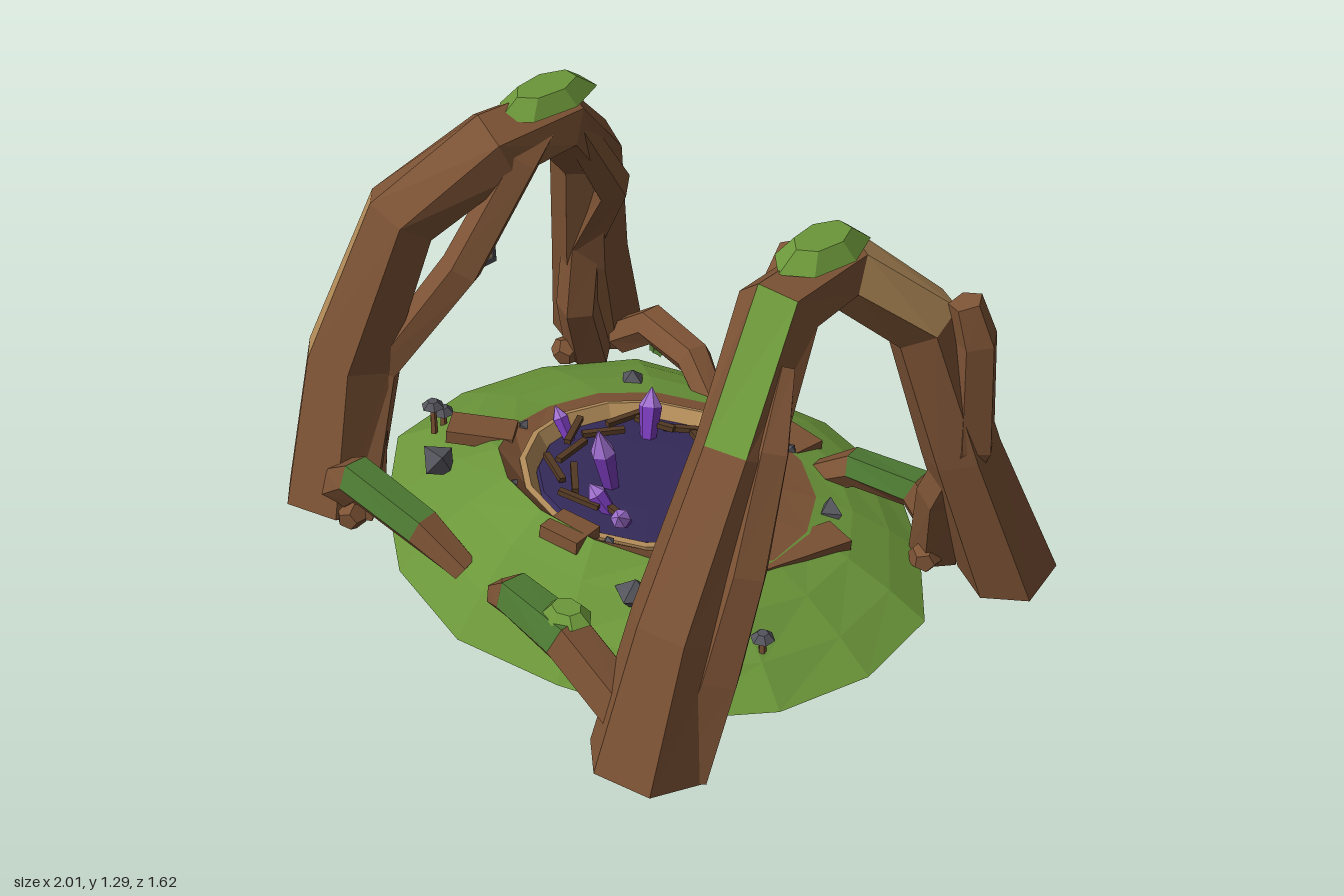
import * as THREE from 'three';

const mat = (name, color, side = THREE.FrontSide) => {
  const m = new THREE.MeshStandardMaterial({ color, side });
  m.name = name;
  return m;
};

export function createModel() {
  const root = new THREE.Group();
  const M = {
    bark: mat('bark', 0x7d5335, THREE.DoubleSide), cutWood: mat('pale wood', 0xb48d5a),
    grass: mat('grass', 0x6c973a, THREE.DoubleSide), moss: mat('moss', 0x4a7530),
    pool: mat('pool', 0x352b5c), crystal: mat('crystal', 0x7a3cbc), crystalTip: mat('crystal tip', 0xa070d0),
    stone: mat('stone', 0x54545c), stick: mat('dark wood', 0x543a24), glow: mat('lamp glow', 0xe2bd78),
  };
  const flat = (g) => {
    const out = g.index ? g.toNonIndexed() : g;
    out.computeVertexNormals();
    return out;
  };
  const add = (name, geo, material, pos = [0, 0, 0], rot = [0, 0, 0], parent = root) => {
    const m = new THREE.Mesh(flat(geo), material);
    m.name = name;
    m.position.set(...pos);
    m.rotation.set(...rot);
    parent.add(m);
    return m;
  };

  // Skin a list of closed rings; paint(segment, side) picks the material slot
  const skin = (rings, caps, paint = () => 0) => {
    const slots = [[], [], [], []], n = rings[0].length;
    const tri = (s, ...v) => v.forEach((p) => slots[s].push(p.x, p.y, p.z));
    for (let k = 0; k < rings.length - 1; k++) for (let i = 0; i < n; i++) {
      const j = (i + 1) % n, s = paint(k, i);
      const [a, b, c, d] = [rings[k][i], rings[k][j], rings[k + 1][j], rings[k + 1][i]];
      tri(s, a, b, c);
      tri(s, a, c, d);
    }
    if (caps) for (let i = 1; i < n - 1; i++) {
      const e = rings[rings.length - 1];
      tri(0, rings[0][0], rings[0][i + 1], rings[0][i]);
      tri(0, e[0], e[i], e[i + 1]);
    }
    const g = new THREE.BufferGeometry();
    g.setAttribute('position', new THREE.Float32BufferAttribute(slots.flat(), 3));
    let start = 0;
    slots.forEach((s, i) => {
      if (s.length) g.addGroup(start, s.length / 3, i);
      start += s.length / 3;
    });
    return g;
  };

  // Tapering faceted limb through points [x, y, z, radius]
  const limb = (name, pts, ref, sides, paint, turn = 0) => {
    const P = pts.map((p) => new THREE.Vector3(p[0], p[1], p[2]));
    const rings = P.map((p, k) => {
      const T = P[Math.min(k + 1, P.length - 1)].clone().sub(P[Math.max(k - 1, 0)]).normalize();
      const N = ref.clone().addScaledVector(T, -ref.dot(T)).normalize();
      const B = T.clone().cross(N);
      return Array.from({ length: sides }, (_, i) => {
        const a = turn + (i / sides) * Math.PI * 2, r = pts[k][3];
        const v = p.clone().addScaledVector(N, r * Math.cos(a)).addScaledVector(B, r * Math.sin(a));
        v.y = Math.max(0, v.y);
        return v;
      });
    });
    return add(name, skin(rings, true, paint), [M.bark, M.cutWood, M.moss, M.grass]);
  };
  const X = new THREE.Vector3(1, 0, 0), Z = new THREE.Vector3(0, 0, 1);

  // Left arch and its twisting side roots
  limb('leftArch', [[0.73, 0, 0.66, 0.17], [0.72, 0.42, 0.53, 0.14], [0.7, 0.87, 0.31, 0.12], [0.58, 1.14, 0.05, 0.115],
    [0.56, 1.15, -0.2, 0.11], [0.67, 0.93, -0.42, 0.11], [0.77, 0.5, -0.51, 0.115], [0.86, 0, -0.66, 0.15]], X, 6,
  (k, i) => (k === 2 && i === 4 ? 3 : k === 4 && i >= 4 ? 1 : 0), 0.35);
  limb('leftInnerRoot', [[0.64, 0, 0.6, 0.07], [0.66, 0.42, 0.47, 0.06], [0.65, 0.8, 0.27, 0.06], [0.53, 1.09, 0.02, 0.06],
    [0.43, 1.155, -0.16, 0.045]], X, 5);
  limb('leftBackRoot', [[0.78, 1.02, -0.47, 0.05], [0.81, 0.9, -0.49, 0.065], [0.82, 0.55, -0.5, 0.07], [0.72, 0.3, -0.5, 0.07],
    [0.66, 0, -0.57, 0.08]], X, 5);
  limb('leftOuterRoot', [[0.71, 1.07, 0.15, 0.03], [0.78, 0.9, 0.27, 0.06], [0.83, 0.6, 0.4, 0.07], [0.83, 0.3, 0.5, 0.08],
    [0.8, 0, 0.59, 0.1]], X, 5);

  // Right arch and its side roots
  limb('rightArch', [[-0.75, 0, 0.57, 0.17], [-0.79, 0.45, 0.46, 0.14], [-0.73, 0.9, 0.28, 0.12], [-0.6, 1.09, 0.03, 0.12],
    [-0.58, 1.1, -0.18, 0.11], [-0.67, 0.88, -0.38, 0.11], [-0.76, 0.45, -0.47, 0.12], [-0.87, 0, -0.6, 0.15]], X, 6,
  (k, i) => (k === 1 && i === 3 ? 1 : 0), 0.35);
  limb('rightInnerRoot', [[-0.64, 0, 0.58, 0.07], [-0.71, 0.42, 0.4, 0.06], [-0.56, 0.76, 0.2, 0.065], [-0.52, 1.06, 0, 0.06],
    [-0.56, 1.15, -0.16, 0.045]], X, 5);
  limb('rightBackRoot', [[-0.55, 1.12, -0.2, 0.05], [-0.58, 0.78, -0.4, 0.065], [-0.73, 0.5, -0.42, 0.07], [-0.74, 0.25, -0.4, 0.07],
    [-0.78, 0, -0.48, 0.08]], X, 5);
  limb('rightOuterRoot', [[-0.78, 0.9, 0.18, 0.04], [-0.81, 0.55, 0.33, 0.07], [-0.81, 0, 0.5, 0.1]], X, 5);

  // Bent mossy logs around the mound
  const logTop = (k, i) => (k === 1 && (i === 4 || i === 5) ? 2 : 0);
  limb('frontRightLog', [[-0.67, 0.11, 0.6, 0.075], [-0.53, 0.23, 0.64, 0.07], [-0.24, 0.21, 0.63, 0.065], [-0.11, 0.12, 0.59, 0.045]], Z, 6, logTop);
  limb('frontLeftLog', [[0.06, 0.14, 0.6, 0.045], [0.2, 0.25, 0.65, 0.07], [0.46, 0.29, 0.69, 0.08], [0.64, 0.15, 0.66, 0.08]], Z, 6, logTop);
  limb('backRightLog', [[-0.72, 0.06, -0.57, 0.06], [-0.58, 0.17, -0.58, 0.065], [-0.36, 0.17, -0.55, 0.06], [-0.24, 0.09, -0.51, 0.05]], Z, 6);
  limb('backLeftLog', [[0.25, 0.09, -0.5, 0.05], [0.36, 0.17, -0.53, 0.06], [0.56, 0.18, -0.58, 0.065], [0.7, 0.06, -0.58, 0.06]], Z, 6, logTop);

  // Open grassy mound, higher at the front, with a soil bank sinking to the pool
  const crestY = (z) => 0.185 + 0.09 * z + 0.27 * Math.max(0, z - 0.05);
  const oval = (rx, rz, cx, cz, height, wobble = 0) => Array.from({ length: 16 }, (_, i) => {
    const a = -(i / 16) * Math.PI * 2, w = 1 + wobble * Math.sin(i * 2.3);
    const z = rz * w * Math.sin(a) + cz;
    return new THREE.Vector3(rx * w * Math.cos(a) + cx, height(z), z);
  });
  const foot = oval(0.9, 0.74, 0, -0.035, () => 0, 0.025);
  const crest = oval(0.49, 0.45, 0.02, -0.04, crestY);
  const slope = [[0, 0], [0.3, 0.4], [0.65, 0.76], [1, 1]].map(([t, h]) => foot.map((p, i) => {
    const v = p.clone().lerp(crest[i], t);
    v.y = crest[i].y * h;
    return v;
  }));
  add('mound', skin(slope, false), M.grass);
  add('soilBank', skin([crest, oval(0.38, 0.37, 0.015, -0.02, (z) => 0.21 + 0.12 * z)], false), M.bark);
  [[-0.46, 0.23, 0.7, 0.2], [0.48, 0.2, 1.0, 0.2], [0.06, -0.53, 0, 0.22], [0.12, 0.39, 0.2, 0.13], [0.5, -0.15, 1.4, 0.3]].forEach(([x, z, a, w]) =>
    add('soilPatch', new THREE.BoxGeometry(w, 0.04, 0.11), M.bark, [x, crestY(z) - 0.022, z], [-0.1, a, 0]));

  // Pool with a sloping pale rim and a deep basin
  const pool = new THREE.Group();
  pool.name = 'crystalPool';
  pool.position.set(0.01, 0.2, -0.02);
  pool.rotation.x = -0.12;
  root.add(pool);
  const lathe = (pts, n) => new THREE.LatheGeometry(pts.map((p) => new THREE.Vector2(...p)), n);
  add('poolRim', lathe([[0.33, -0.08], [0.375, -0.07], [0.388, 0.022], [0.37, 0.026], [0.335, -0.02], [0.33, -0.08]], 16), M.cutWood, undefined, undefined, pool);
  add('poolBasin', lathe([[0, -0.19], [0.17, -0.18], [0.3, -0.12], [0.345, -0.04], [0.33, -0.012], [0.18, -0.002], [0, -0.006]], 16), M.pool,
    [-0.01, 0, -0.01], undefined, pool);
  add('paleStep', new THREE.BoxGeometry(0.2, 0.03, 0.08), M.cutWood, [0.04, 0.025, -0.39], undefined, pool);

  // Broken twigs curling over the pool
  for (let i = 0; i < 14; i++) {
    const a = 1.2 + i * 0.35, r = i % 2 ? 0.27 : 0.23;
    add('twig', new THREE.BoxGeometry(0.13, 0.016, 0.02), M.stick, [r * Math.cos(a) - 0.02, 0.012 + (i % 3) * 0.01, r * Math.sin(a)],
      [0, -a - Math.PI / 2 + (i % 2 ? 0.35 : -0.35), 0.06], pool);
  }

  // Crystals: x, z, height, radius, tilt x, tilt z
  [[-0.03, 0.1, 0.215, 0.038, 0.15, 0.08], [0.15, -0.08, 0.19, 0.036, 0.05, -0.35], [-0.16, -0.17, 0.15, 0.036, -0.4, 0.3],
    [0.0, -0.28, 0.13, 0.03, -0.7, 0], [-0.3, 0.03, 0.1, 0.026, 0, 0.6], [0.27, 0.05, 0.11, 0.03, 0.3, -0.8],
    [0.06, 0.19, 0.1, 0.03, 0.3, 0.6], [0.13, 0.19, 0.1, 0.03, 0.7, -0.4]].forEach(([x, z, h, r, tx, tz]) => {
    const g = new THREE.Group();
    g.name = 'crystal';
    g.position.set(x, 0.2 + 0.12 * z, z);
    g.rotation.set(tx, 0, tz);
    root.add(g);
    add('crystalShaft', lathe([[0, -0.02], [r * 0.65, -0.02], [r, h * 0.6]], 6), M.crystal, undefined, undefined, g);
    add('crystalPoint', lathe([[r, h * 0.6], [0, h]], 6), M.crystalTip, undefined, undefined, g);
  });

  // Moss clumps: position, half width, height, half depth, tilt
  [[0.565, 1.26, -0.12, 0.095, 0.05, 0.16, 0], [-0.59, 1.197, -0.16, 0.095, 0.05, 0.18, 0], [0.7, 0.94, 0.27, 0.055, 0.03, 0.07, -0.3],
    [-0.75, 0.95, 0.23, 0.08, 0.025, 0.08, 0.3], [0.43, 0.36, 0.67, 0.08, 0.03, 0.06, 0.1]].forEach(([x, y, z, a, h, b, t]) =>
    add('mossClump', new THREE.CylinderGeometry(0.6, 1, 1, 7), M.grass, [x, y, z], [0, 0, t]).scale.set(a, h, b));

  // Hanging lanterns
  [[0.61, 0.775, 0.16], [-0.61, 0.765, 0.08]].forEach((p) => {
    const g = new THREE.Group();
    g.name = 'lantern';
    g.position.set(...p);
    root.add(g);
    add('lanternGlass', new THREE.BoxGeometry(0.042, 0.09, 0.042), M.glow, undefined, undefined, g);
    add('lanternBase', new THREE.BoxGeometry(0.056, 0.016, 0.056), M.stone, [0, -0.05, 0], undefined, g);
    add('lanternRoof', new THREE.CylinderGeometry(0.014, 0.044, 0.03, 4), M.stone, [0, 0.057, 0], [0, Math.PI / 4, 0], g);
    add('lanternHook', new THREE.BoxGeometry(0.008, 0.05, 0.008), M.stone, [0, 0.09, 0], undefined, g);
    for (const sx of [-1, 1]) for (const sz of [-1, 1])
      add('lanternPost', new THREE.BoxGeometry(0.01, 0.09, 0.01), M.stone, [sx * 0.022, 0, sz * 0.022], undefined, g);
  });

  // Small mushrooms and stones on the mound
  for (const s of [-1, 1]) [[0.67, 0.25, 0.12, 0.11], [0.7, 0.19, 0.1, 0.06]].forEach(([x, z, y, h]) => {
    add('mushroomStem', new THREE.CylinderGeometry(0.009, 0.012, h, 5), M.bark, [s * x, y + h / 2, z]);
    add('mushroomCap', new THREE.CylinderGeometry(0.016, 0.036, 0.02, 6), M.stone, [s * x, y + h, z]);
  });
  [[-0.45, 0.13, -0.37, 0.04], [0.43, 0.13, -0.35, 0.045], [-0.47, 0.2, 0.39, 0.06], [0.39, 0.23, 0.39, 0.055], [-0.41, 0.22, 0.11, 0.02],
    [0.15, 0.15, -0.47, 0.018], [-0.15, 0.15, -0.47, 0.018], [-0.15, 0.29, 0.37, 0.018], [0.22, 0.28, 0.33, 0.02]].forEach(([x, y, z, r], i) =>
    add('stone', new THREE.OctahedronGeometry(r * 1.15), M.stone, [x, y, z], [i, i * 2, 0]).scale.set(1, 0.8, 0.9));

  // Root stubs and pointed leaves by the feet
  [[-0.61, 0.62], [0.6, 0.6], [-0.8, -0.4], [0.68, -0.5]].forEach(([x, z], i) =>
    add('rootStub', new THREE.DodecahedronGeometry(0.05), M.bark, [x, 0.04, z], [i, i, 0]));
  [[-0.63, -0.64], [0.61, -0.64], [-0.6, 0.5], [0.57, 0.48]].forEach(([x, z]) => {
    for (let i = -1; i <= 1; i++)
      add('leaf', new THREE.ConeGeometry(0.028, 0.14, 4), M.moss, [x + i * 0.035, 0.07, z + Math.sign(z) * 0.02],
        [Math.sign(z) * 0.4, 0, -i * 0.5]).scale.z = 0.4;
  });
  return root;
}
